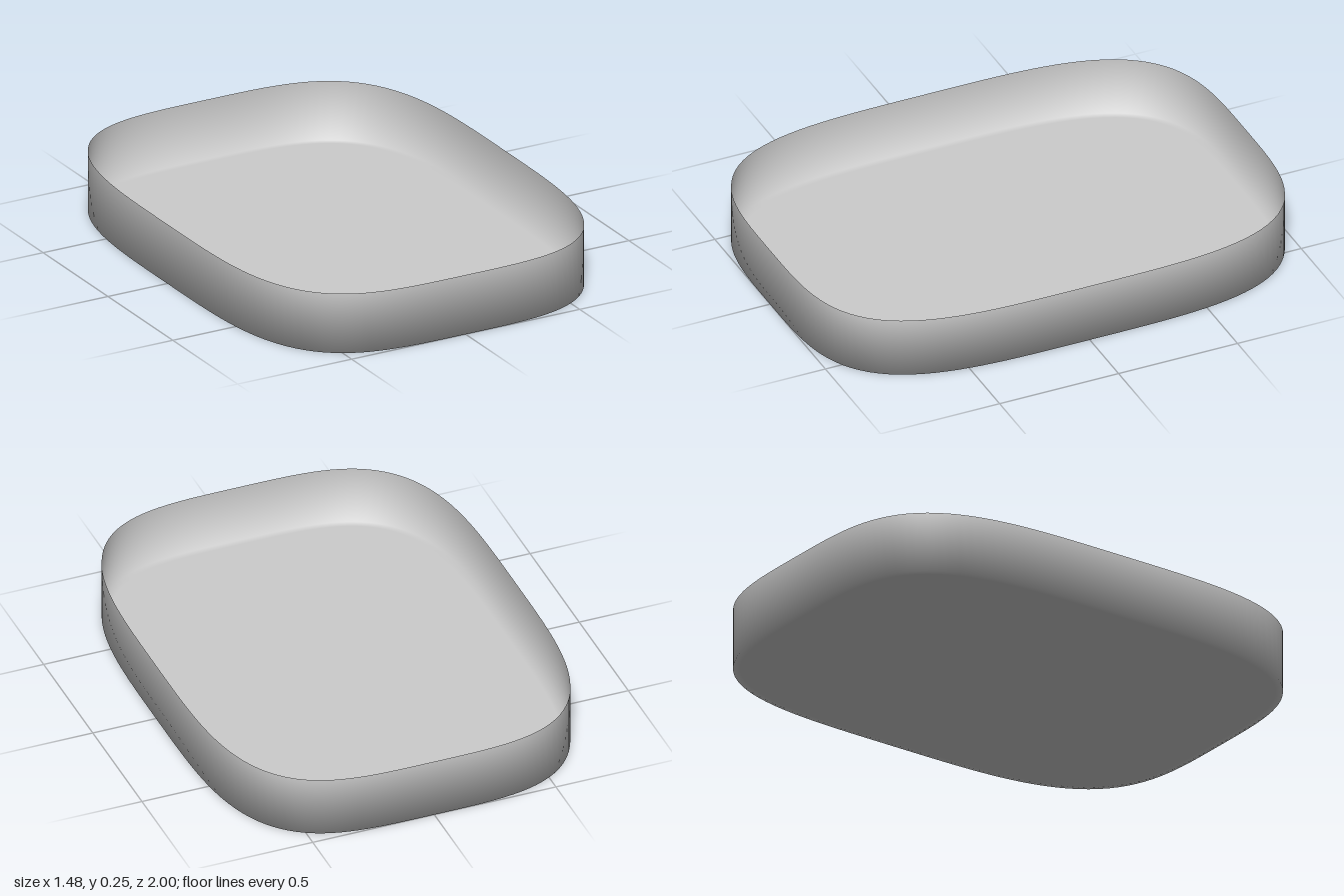
import * as THREE from 'three';

const HALF_X = 0.74, HALF_Z = 1, HEIGHT = 0.245;
const POWER = 3.7; // squareness of the rounded outline
const STEPS = 160;

// Point on the superellipse outline with its outward direction
function outline(t) {
  const c = Math.cos(t), s = Math.sin(t);
  const bend = (v, p) => Math.sign(v) * Math.abs(v) ** p;
  // Even out the spacing by casting rays from the centre
  const r = (Math.abs(c) ** POWER + Math.abs(s) ** POWER) ** (-1 / POWER);
  const x = r * c, z = r * s;
  const n = new THREE.Vector2(bend(x, POWER - 1) / HALF_X, bend(z, POWER - 1) / HALF_Z).normalize();
  return { x: x * HALF_X, z: z * HALF_Z, nx: n.x, nz: n.y };
}

// Thin open shell: floor centre, floor edge, bottom corner, rim
function trayGeometry() {
  const rings = [
    { inset: 0.03, y: 0, out: 0, down: 1 },
    { inset: 0, y: 0, out: 1, down: 0.8 },
    { inset: 0, y: HEIGHT, out: 1, down: 0 },
  ];
  const positions = [0, 0, 0], normals = [0, -1, 0], index = [];
  for (const { inset, y, out, down } of rings) {
    for (let i = 0; i < STEPS; i++) {
      const p = outline((i / STEPS) * Math.PI * 2);
      const n = new THREE.Vector3(p.nx * out, -down, p.nz * out).normalize();
      positions.push(p.x - p.nx * inset, y, p.z - p.nz * inset);
      normals.push(n.x, n.y, n.z);
    }
  }
  for (let i = 0; i < STEPS; i++) {
    const j = (i + 1) % STEPS;
    index.push(0, 1 + i, 1 + j);
    for (let k = 0; k < rings.length - 1; k++) {
      const a = 1 + k * STEPS, b = a + STEPS;
      index.push(a + i, b + i, b + j, a + i, b + j, a + j);
    }
  }
  const geometry = new THREE.BufferGeometry();
  geometry.setAttribute('position', new THREE.Float32BufferAttribute(positions, 3));
  geometry.setAttribute('normal', new THREE.Float32BufferAttribute(normals, 3));
  geometry.setIndex(index);
  return geometry;
}

export function createModel() {
  const group = new THREE.Group();
  group.name = 'openTray';
  const material = new THREE.MeshStandardMaterial({ color: 0xcccccc, side: THREE.DoubleSide });
  const tray = new THREE.Mesh(trayGeometry(), material);
  tray.name = 'trayShell';
  group.add(tray);
  return group;
}
